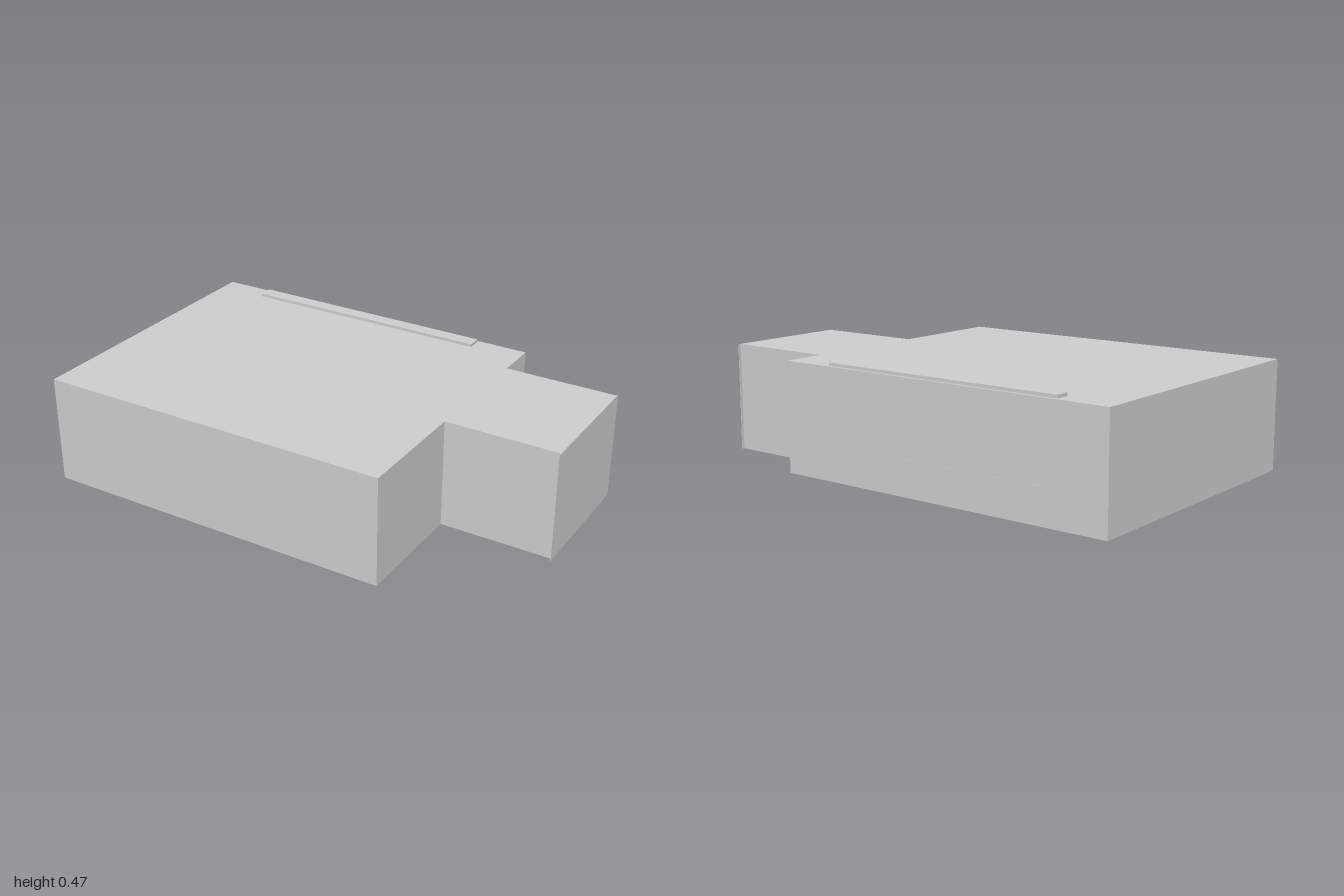
import * as THREE from 'three';

export function createModel() {
  const group = new THREE.Group();
  group.name = 'flatRoofedBuilding';
  const grey = new THREE.MeshStandardMaterial({ color: 0xcccccc });
  grey.name = 'light grey';
  grey.side = THREE.DoubleSide;

  const H = 0.46;      // wall height
  const D = 0.618;     // half depth of main block
  const SIDE = 0.52;   // x where the wing joins

  const add = (name, geometry, x = 0, y = 0, z = 0) => {
    const mesh = new THREE.Mesh(geometry, grey);
    mesh.name = name;
    mesh.position.set(x, y, z);
    group.add(mesh);
    return mesh;
  };

  // Main block and side wing share one floor plan (shape y is -z)
  const plan = new THREE.Shape([
    [-1, -D], [SIDE, -D], [SIDE, -0.114], [1, -0.114],
    [1, 0.435], [SIDE, 0.435], [SIDE, D], [-1, D],
  ].map(([x, y]) => new THREE.Vector2(x, y)));
  const body = new THREE.ExtrudeGeometry(plan, { depth: H, bevelEnabled: false });
  body.rotateX(-Math.PI / 2);
  add('mainBlockAndWing', body);

  // End wall of the wing, slightly wider than its roof
  add('wingEndWall', new THREE.BoxGeometry(0.002, H, 0.576), 0.999, H / 2, -0.158);

  // Low raised strip along the back of the roof
  add('roofStrip', new THREE.BoxGeometry(1.08, 0.013, 0.06), -0.24, H + 0.0065, -0.575);

  // Fine ledge low on the back wall
  add('backLedge', new THREE.BoxGeometry(1.06, 0.005, 0.004), -0.24, 0.145, -D);

  return group;
}
